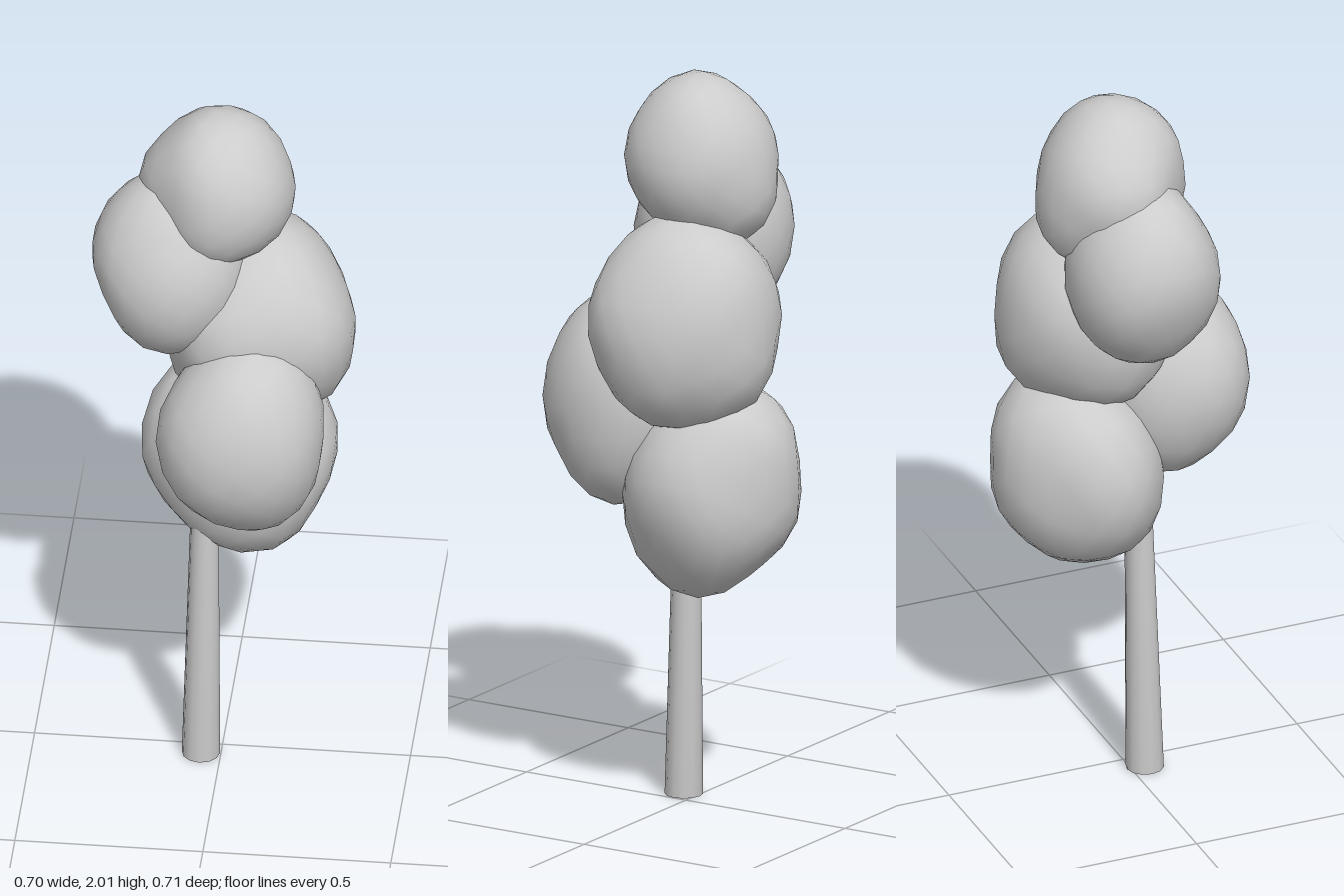
import * as THREE from 'three';
import { mergeVertices } from 'three/addons/utils/BufferGeometryUtils.js';

// Each clump: centre, radii and a few lumps or dents as front [x, y], side [z, y] and top [x, z]
const clumps = [
  {
    name: 'lowerFoliage', centre: [0.05, 0.88, -0.12], radii: [0.26, 0.28, 0.235],
    front: [[-0.23, 0.95], [0, 0.65], [0.09, 0.59], [0.26, 0.77], [-0.19, 1.07]],
    side: [[-0.27, 1.15], [-0.24, 0.68], [0.06, 0.67], [-0.05, 0.59]],
    top: [[0.21, -0.275], [-0.16, -0.22]],
  },
  {
    name: 'frontFoliage', centre: [0.07, 1.11, 0.14], radii: [0.21, 0.28, 0.21],
    front: [[0.18, 1.38], [0.24, 1.31], [0.21, 0.87], [-0.1, 0.93]],
    side: [[0.29, 1.33]],
    top: [[-0.13, 0.28], [-0.07, 0.33], [0.19, 0.33]],
  },
  {
    name: 'middleFoliage', centre: [0.1, 1.37, -0.05], radii: [0.245, 0.28, 0.25],
    front: [[0.3, 1.49], [0.28, 1.12], [-0.11, 1.15]],
    side: [[-0.26, 1.14], [0.08, 1.17], [0.18, 1.36], [0.15, 1.5], [-0.27, 1.52]],
    top: [[0.345, 0.04], [-0.11, -0.22], [-0.01, 0.21]],
  },
  {
    name: 'sideFoliage', centre: [-0.135, 1.55, 0], radii: [0.21, 0.265, 0.21],
    front: [[-0.19, 1.81], [-0.345, 1.63], [-0.31, 1.45]],
    side: [[0.16, 1.67]],
    top: [[-0.325, -0.11], [-0.1, 0.21]],
  },
  {
    name: 'topFoliage', centre: [-0.02, 1.78, -0.045], radii: [0.2, 0.22, 0.195],
    front: [[0.06, 1.99], [0.175, 1.68], [-0.15, 1.92], [-0.23, 1.78]],
    side: [[0.02, 2.0], [-0.18, 1.92], [-0.2, 1.58], [0.13, 1.9], [0.15, 1.68]],
    top: [[0.11, 0.125], [-0.15, 0.08]],
  },
];

// Share vertices so the whole surface shades smoothly
function weld(geo) {
  geo.deleteAttribute('normal');
  geo.deleteAttribute('uv');
  return mergeVertices(geo, 1e-4);
}

// Lumpy ball: an ellipsoid pushed and pulled towards its lumps and dents
function clumpGeometry({ centre, radii, front, side, top }) {
  const c = new THREE.Vector3(...centre);
  const size = new THREE.Vector3(...radii);
  const anchors = [
    ...front.map(([x, y]) => new THREE.Vector3(x, y, c.z)),
    ...side.map(([z, y]) => new THREE.Vector3(c.x, y, z)),
    ...top.map(([x, z]) => new THREE.Vector3(x, c.y, z)),
  ].map((p) => {
    p.sub(c).divide(size);
    return { offset: p.length() - 1, dir: p.normalize() };
  });

  const geo = weld(new THREE.IcosahedronGeometry(1, 3));
  const pos = geo.attributes.position;
  const v = new THREE.Vector3();
  for (let i = 0; i < pos.count; i++) {
    v.fromBufferAttribute(pos, i).normalize();
    let sum = 0;
    let total = 0.2;
    for (const { offset, dir } of anchors) {
      const weight = Math.exp(-13 * (1 - v.dot(dir)));
      sum += weight * offset;
      total += weight;
    }
    v.multiplyScalar(1 + 1.1 * sum / total).multiply(size).add(c);
    pos.setXYZ(i, v.x, v.y, v.z);
  }
  geo.computeVertexNormals();
  return geo;
}

// Slim tapered trunk, leaning slightly and reaching into the crown
function trunkGeometry() {
  const height = 0.95;
  const geo = weld(new THREE.CylinderGeometry(0.034, 0.051, height, 12));
  geo.translate(0, height / 2, 0);
  const pos = geo.attributes.position;
  for (let i = 0; i < pos.count; i++) {
    const t = pos.getY(i) / height;
    pos.setX(i, pos.getX(i) - 0.053 + 0.01 * t);
    pos.setZ(i, pos.getZ(i) + 0.04 - 0.018 * t);
  }
  geo.computeVertexNormals();
  return geo;
}

export function createModel() {
  const tree = new THREE.Group();
  tree.name = 'tree';
  const grey = new THREE.MeshStandardMaterial({ color: 0xcccccc });
  grey.name = 'light grey';

  const trunk = new THREE.Mesh(trunkGeometry(), grey);
  trunk.name = 'trunk';
  tree.add(trunk);

  for (const clump of clumps) {
    const mesh = new THREE.Mesh(clumpGeometry(clump), grey);
    mesh.name = clump.name;
    tree.add(mesh);
  }
  return tree;
}
